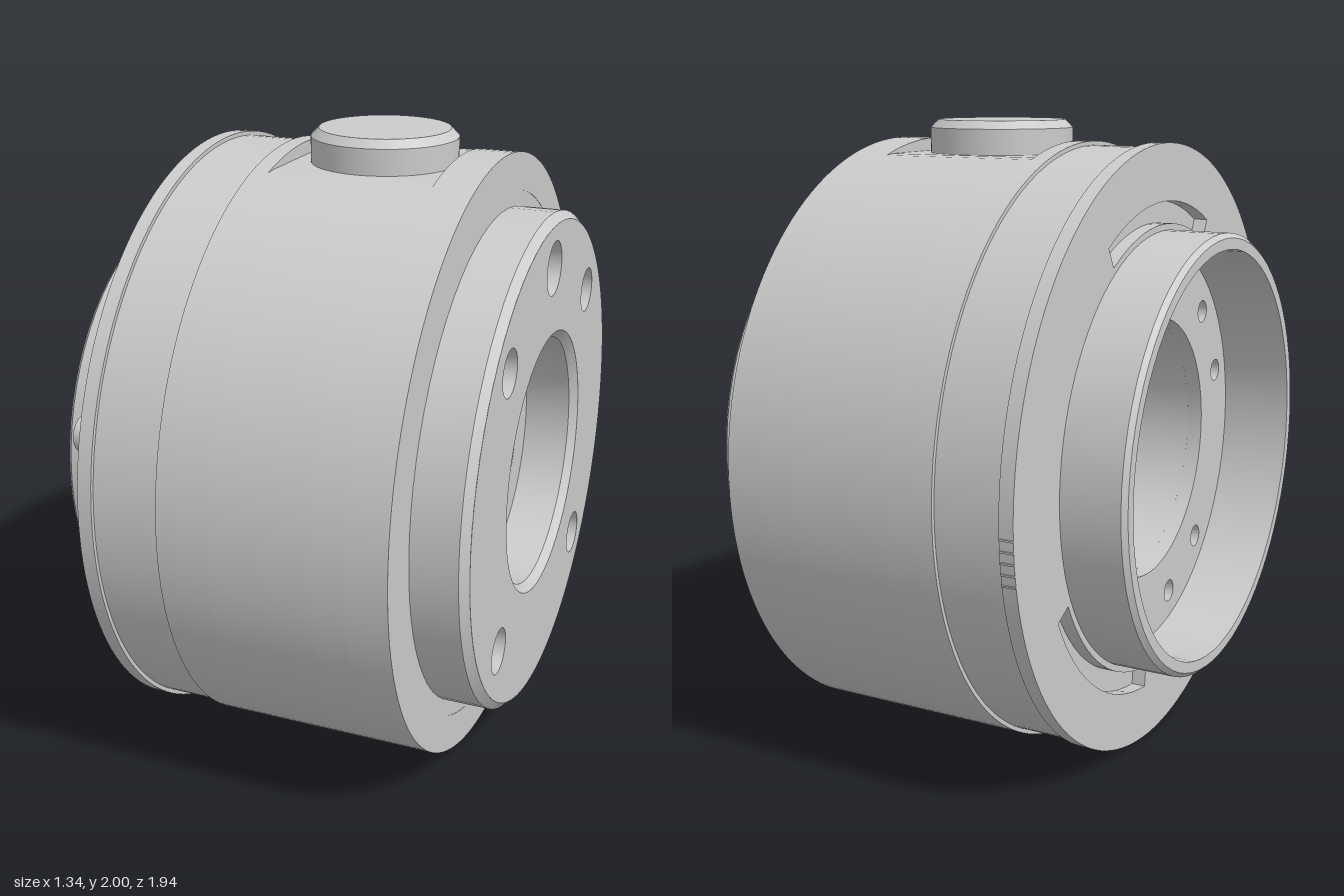
import * as THREE from 'three';
import { toCreasedNormals } from 'three/addons/utils/BufferGeometryUtils.js';

const R = 0.968;   // outer radius of the housing
const CY = 0.968;  // height of the main axis

export function createModel() {
  const model = new THREE.Group();
  const material = new THREE.MeshStandardMaterial({ color: 0xcccccc });

  const add = (name, geometry) => {
    const mesh = new THREE.Mesh(toCreasedNormals(geometry, 0.5), material);
    mesh.name = name;
    model.add(mesh);
    return mesh;
  };

  // Closed profile of [radius, x] pairs turned around the main axis
  const turned = (name, profile) => {
    const points = profile.map(([r, x]) => new THREE.Vector2(r, x));
    const geometry = new THREE.LatheGeometry(points, 72);
    geometry.rotateZ(-Math.PI / 2).translate(0, CY, 0);
    return add(name, geometry);
  };

  // Disc outline, optionally cut flat at the top and bottom
  const disc = (r, top = r, bottom = r) => {
    const points = [];
    for (let i = 0; i < 144; i++) {
      const a = (i / 144) * Math.PI * 2;
      points.push(new THREE.Vector2(r * Math.cos(a),
        Math.max(-bottom, Math.min(top, r * Math.sin(a)))));
    }
    return new THREE.Shape(points);
  };

  // z and y are measured from the main axis
  const hole = (r, z = 0, y = 0) => {
    const path = new THREE.Path();
    path.absarc(-z, y, r, 0, Math.PI * 2, true);
    return path;
  };

  // Curved slot between two angles in degrees, measured from +z towards +y
  const slot = (inner, outer, from, to) => {
    const points = [];
    const arc = (r, a, b) => {
      for (let i = 0; i <= 16; i++) {
        const t = THREE.MathUtils.degToRad(a + (b - a) * i / 16);
        points.push(new THREE.Vector2(-r * Math.cos(t), r * Math.sin(t)));
      }
    };
    arc(outer, from, to);
    arc(inner, to, from);
    return new THREE.Path(points);
  };

  // Outline with holes extruded along x
  const plate = (name, shape, holes, x0, x1) => {
    shape.holes.push(...holes);
    const geometry = new THREE.ExtrudeGeometry(shape, {
      depth: x1 - x0, bevelEnabled: false, curveSegments: 48,
    });
    geometry.rotateY(Math.PI / 2).translate(x0, CY, 0);
    return add(name, geometry);
  };

  // Core with hub rim, stepped bore and open rear collar
  turned('core', [
    [0.65, -0.67], [0.685, -0.67], [0.7, -0.655], [0.7, -0.42],
    [0.9, -0.42], [0.9, 0.494], [0.8, 0.494], [0.8, 0.64], [0.775, 0.665],
    [0.775, 0.5], [0.425, 0.5], [0.425, 0.665], [0.4, 0.64], [0.4, 0.49],
    [0.275, 0.49], [0.26, 0.475], [0.26, 0.42], [0.42, 0.42], [0.42, -0.39],
    [0.65, -0.39], [0.65, -0.67],
  ]);

  // Hub face with four bolt holes and one locating hole
  const hubHoles = [hole(0.425), hole(0.085, 0, 0.64)];
  for (const z of [-0.45, 0.45]) {
    for (const y of [-0.45, 0.45]) hubHoles.push(hole(0.073, z, y));
  }
  plate('hubFace', disc(0.775), hubHoles, 0.5, 0.665);

  // Floor of the collar with eight small holes
  const floorHoles = [hole(0.42)];
  for (let k = 0; k < 4; k++) {
    for (const start of [17, 44]) {
      const a = THREE.MathUtils.degToRad(start + 90 * k);
      floorHoles.push(hole(0.037, 0.56 * Math.cos(a), 0.56 * Math.sin(a)));
    }
  }
  plate('collarFloor', disc(0.65), floorHoles, -0.44, -0.39);

  // Rear flange with curved slots, then the narrower sleeve
  plate('flange', disc(R),
    [hole(0.7), slot(0.72, 0.79, 63, 120), slot(0.72, 0.79, 207, 264)], -0.465, -0.42);
  plate('sleeve', disc(0.955), [hole(0.85)], -0.42, -0.21);

  // Main housing in bands, so the flats sit between full rims
  const bands = [
    [-0.21, -0.155, R, R],
    [-0.155, -0.05, 0.927, R],
    [-0.05, 0.265, 0.927, 0.917],
    [0.265, 0.365, 0.927, R],
    [0.365, 0.495, R, R],
  ];
  for (const [x0, x1, top, bottom] of bands) {
    plate('housing', disc(R, top, bottom), [hole(0.85)], x0, x1);
  }

  // Chamfered round button on the top flat
  const button = new THREE.LatheGeometry([
    [0, 1.85], [0.23, 1.85], [0.23, 1.975], [0.205, 2], [0, 2],
  ].map(([r, y]) => new THREE.Vector2(r, y)), 48);
  add('topButton', button.translate(0.11, 0, 0));

  // Stud from the lower flat into the bore
  const stud = new THREE.CylinderGeometry(0.092, 0.092, 0.74, 24);
  add('lowerStud', stud.translate(0.11, 0.45, 0));

  // Locating pin on the rear flange
  const pin = new THREE.CylinderGeometry(0.055, 0.055, 0.1, 24);
  pin.rotateZ(Math.PI / 2).translate(-0.48, 1.19, 0.81);
  add('locatingPin', pin);

  // Fine index marks on the flange rim
  for (let i = 0; i < 5; i++) {
    const a = -0.04 - 0.035 * i;
    const mark = new THREE.BoxGeometry(0.045, 0.006, 0.006);
    mark.translate(-0.4425, 0, -R).rotateX(a);
    add('indexMark', mark.translate(0, CY, 0));
  }

  return model;
}
